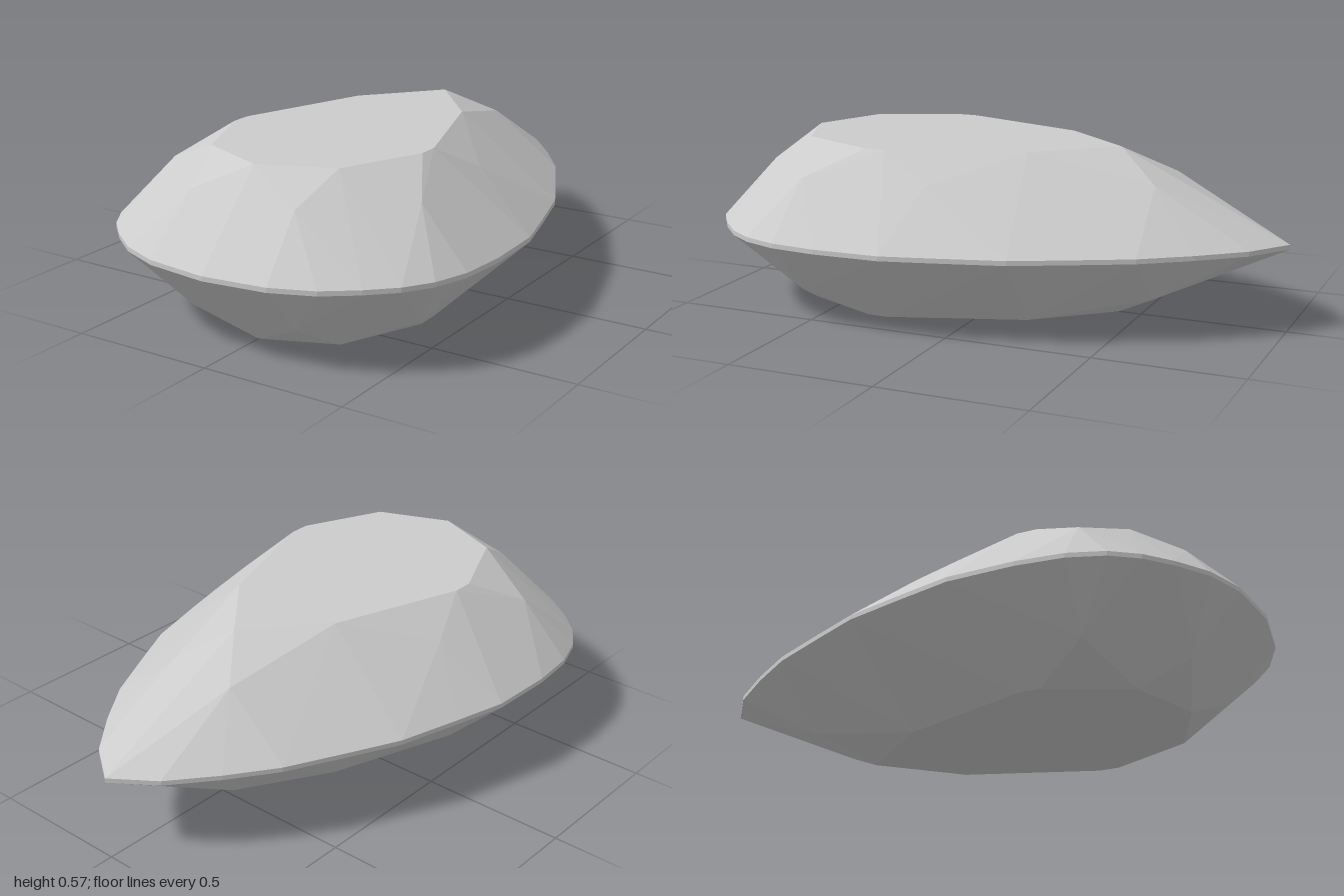
import * as THREE from 'three';
import { ConvexGeometry } from 'three/addons/geometries/ConvexGeometry.js';

const MID = 0.2875; // height of the girdle's centre

// Right halves of each ring as [x, z], from the pointed back to the round front
const girdle = [
  [0, -1], [0.14, -0.9], [0.26, -0.755], [0.37, -0.6], [0.47, -0.4], [0.55, -0.235],
  [0.61, -0.02], [0.657, 0.16], [0.665, 0.39], [0.65, 0.55], [0.61, 0.67], [0.55, 0.76],
  [0.465, 0.84], [0.36, 0.917], [0.22, 0.973], [0, 1],
];
const facetCorners = [[0.13, -0.58], [0.44, 0.1], [0.48, 0.535], [0.2, 0.8]];
const table = [[0, -0.42], [0.215, -0.17], [0.37, 0.28], [0.37, 0.35], [0.245, 0.63], [0, 0.73]];

export function createModel() {
  const points = [];
  // Mirror a half ring left to right and above and below the girdle
  const addRing = (ring, h) => {
    for (const [x, z] of ring)
      for (const side of x ? [-1, 1] : [1])
        for (const up of [-1, 1]) points.push(new THREE.Vector3(side * x, MID + up * h, z));
  };
  addRing(girdle, 0.008);
  addRing(facetCorners, 0.192);
  addRing(table, MID);

  // The planar facets are the hull of the three rings
  const gem = new THREE.Mesh(
    new ConvexGeometry(points),
    new THREE.MeshStandardMaterial({ color: 0xcccccc, flatShading: true }),
  );
  gem.name = 'pearCutGem';

  const group = new THREE.Group();
  group.name = 'gemstone';
  group.add(gem);
  return group;
}
